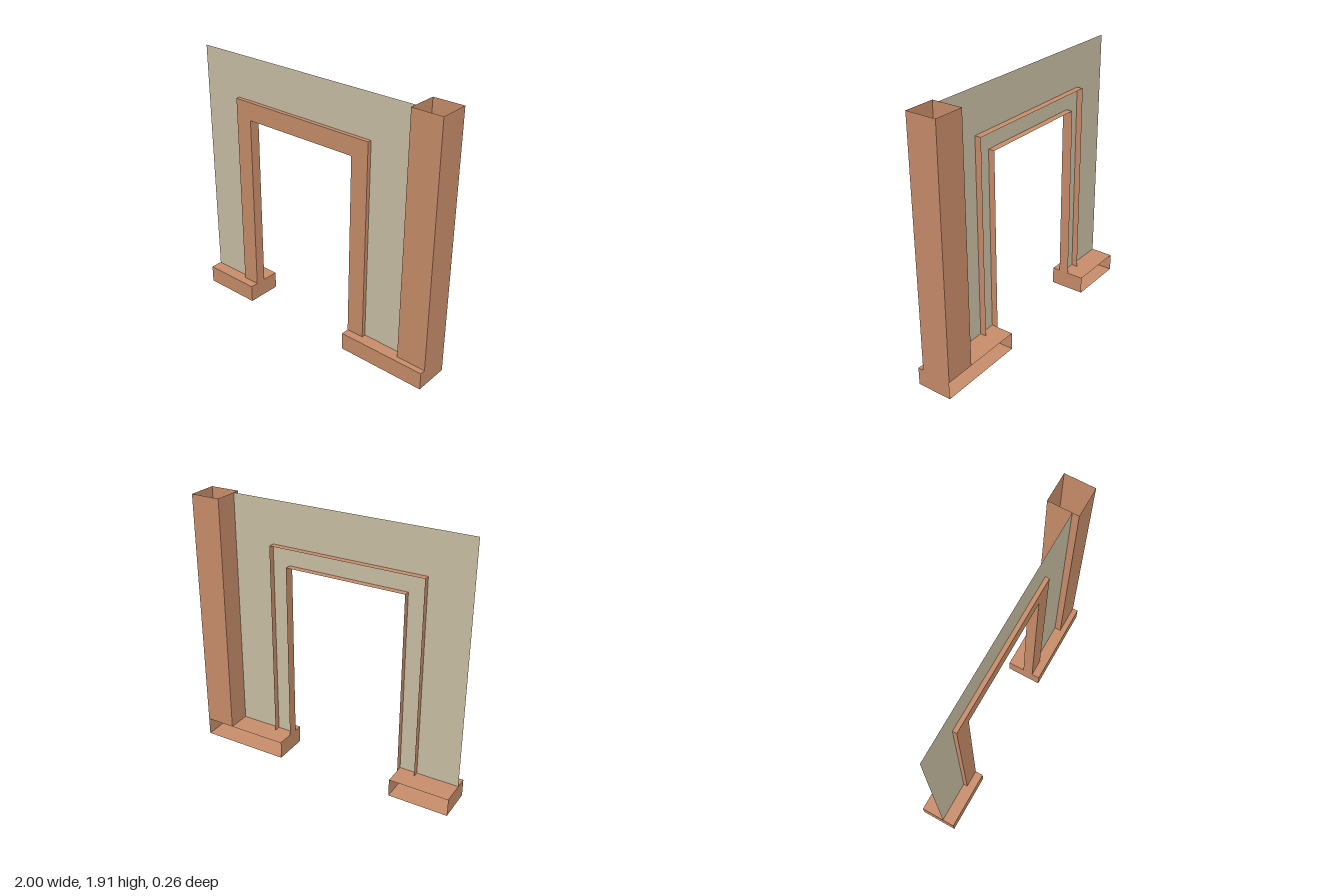
import * as THREE from 'three';

const terracotta = new THREE.MeshStandardMaterial({ color: 0xc98e6b, side: THREE.DoubleSide });
const plaster = new THREE.MeshStandardMaterial({ color: 0xcac0a5, side: THREE.DoubleSide });
const SIDES = ['+x', '-x', '+y', '-y', '+z', '-z'];

// Thin-walled box between two corners, with the listed sides left open
function openBox(name, [x0, y0, z0], [x1, y1, z1], open) {
  const geo = new THREE.BoxGeometry(x1 - x0, y1 - y0, z1 - z0);
  geo.translate((x0 + x1) / 2, (y0 + y1) / 2, (z0 + z1) / 2);
  const index = Array.from(geo.index.array);
  geo.setIndex(SIDES.flatMap((s, i) => (open.includes(s) ? [] : index.slice(i * 6, i * 6 + 6))));
  geo.clearGroups();
  const mesh = new THREE.Mesh(geo, terracotta);
  mesh.name = name;
  return mesh;
}

// Flat sheet in the xy plane at depth z
function sheet(name, points, z, material) {
  const shape = new THREE.Shape(points.map(([x, y]) => new THREE.Vector2(x, y)));
  const geo = new THREE.ShapeGeometry(shape);
  geo.translate(0, 0, z);
  const mesh = new THREE.Mesh(geo, material);
  mesh.name = name;
  return mesh;
}

// Upside-down U outline: outer legs and top, then the opening
const arch = (x0, x1, top, y0, i0, i1, iTop) =>
  [[x0, y0], [x0, top], [x1, top], [x1, y0], [i1, y0], [i1, iTop], [i0, iTop], [i0, y0]];

export function createModel() {
  const group = new THREE.Group();
  const top = 1.915, baseTop = 0.13, back = -0.133, front = 0.13;
  const left = 0.335, right = -0.56, head = 1.47; // doorway opening
  const pillarX = 0.778, pillarZ = 0.088;

  // Wall panel with the doorway cut out
  group.add(sheet('wall', arch(-1, pillarX, top, baseTop, right, left, head), 0.04, plaster));

  // Door surround: front face plus edge strips that pass through the wall
  const surround = new THREE.Group();
  surround.name = 'doorSurround';
  const z0 = -0.007, z1 = 0.07, foot = 0.115;
  surround.add(sheet('surroundFace', arch(-0.69, 0.465, 1.603, foot, right, left, head), z1, terracotta));
  surround.add(openBox('surroundOuterEdge', [-0.69, foot, z0], [0.465, 1.603, z1], ['-y', '+z', '-z']));
  surround.add(openBox('surroundInnerEdge', [right, foot, z0], [left, head, z1], ['-y', '+z', '-z']));
  group.add(surround);

  // Hollow corner pillar, open at top and bottom
  group.add(openBox('pillar', [pillarX, baseTop, back], [1, top, pillarZ], ['+y', '-y']));

  // Hollow plinths, open at the back
  group.add(openBox('rightPlinth', [-1, 0, back], [right, baseTop, front], ['-z']));
  group.add(openBox('leftPlinth', [left, 0, back], [1, baseTop, front], ['-z', '+y']));

  // Left plinth top wraps around the pillar
  const cover = sheet('leftPlinthTop', [[left, -front], [1, -front], [1, -pillarZ],
    [pillarX, -pillarZ], [pillarX, -back], [left, -back]], 0, terracotta);
  cover.geometry.rotateX(-Math.PI / 2).translate(0, baseTop, 0);
  group.add(cover);

  return group;
}
